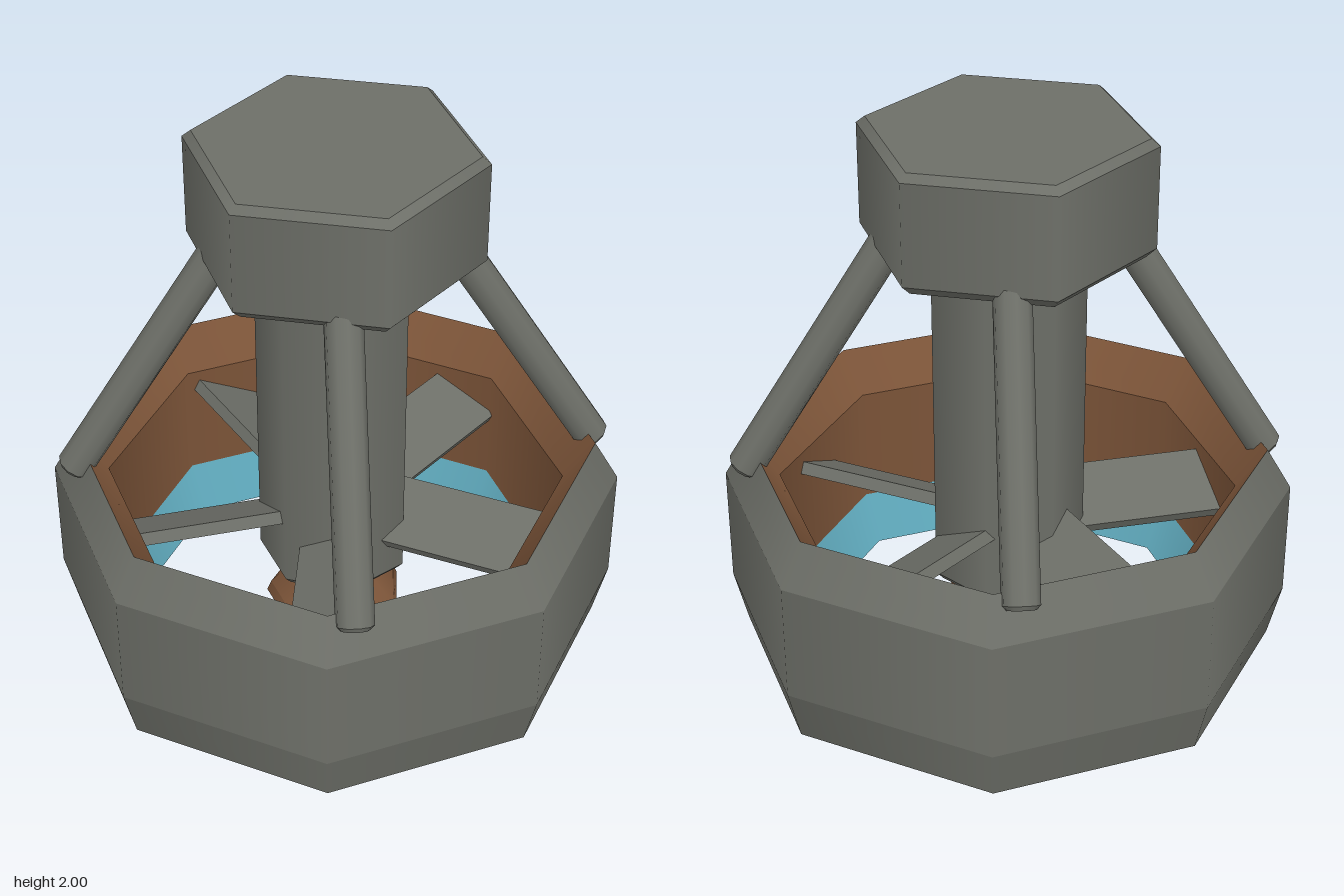
import * as THREE from 'three';
import { mergeGeometries } from 'three/addons/utils/BufferGeometryUtils.js';

const V2 = (p) => new THREE.Vector2(p[0], p[1]);

// Turned solid: smooth around the axis, crisp along the profile
function turned(profile, sides, phi) {
  const bands = [];
  for (let i = 0; i < profile.length - 1; i++) {
    bands.push(new THREE.LatheGeometry([V2(profile[i]), V2(profile[i + 1])], sides, phi));
  }
  return mergeGeometries(bands);
}

export function createModel() {
  const group = new THREE.Group();
  const mat = (name, color) => {
    const m = new THREE.MeshStandardMaterial({ color });
    m.name = name;
    return m;
  };
  const grey = mat('grey metal', 0x6d6f68);
  const brown = mat('brown metal', 0x7d5539);
  const blue = mat('blue glow', 0x60aabd);

  const add = (name, geometry, material, parent = group) => {
    const mesh = new THREE.Mesh(geometry, material);
    mesh.name = name;
    parent.add(mesh);
    return mesh;
  };

  // Eight-sided duct: outer shell, inner wall and lower lip
  const turn = -0.112;
  add('ductShell', turned([[0.82, 0], [0.945, 0.04], [0.992, 0.23], [0.992, 0.66], [0.905, 0.81]], 8, turn), grey);
  add('ductInnerWall', turned([[0.905, 0.81], [0.80, 0.66], [0.80, 0.22]], 8, turn), brown);
  add('ductLip', turned([[0.80, 0.22], [0.73, 0.04], [0.82, 0]], 8, turn), blue);

  // Hexagonal cap
  add('cap', turned([[0, 1.58], [0.465, 1.58], [0.5, 1.615], [0.5, 1.975], [0.47, 2], [0, 2]], 6, Math.PI / 2), grey);

  // Central column and the flared cone below it
  add('column', turned([[0, 0.31], [0.245, 0.31], [0.27, 0.34], [0.27, 1.62], [0, 1.62]], 7, -Math.PI / 2), grey);
  add('cone', turned([[0, 0.1], [0.25, 0.1], [0.235, 0.14], [0.03, 0.4]], 7, -Math.PI / 2), brown);

  // Five pitched fan blades
  for (let i = 0; i < 5; i++) {
    const arm = new THREE.Group();
    arm.name = 'bladeArm';
    arm.rotation.y = -i * Math.PI * 2 / 5;
    arm.position.y = 0.54;
    const blade = add('blade', new THREE.BoxGeometry(0.7, 0.045, 0.255), grey, arm);
    blade.position.set(0.5, 0, -0.015);
    blade.rotation.x = 0.49;
    group.add(arm);
  }

  // Four slanted struts from duct rim to cap
  const up = new THREE.Vector3(0, 1, 0);
  for (const sx of [1, -1]) {
    for (const sz of [1, -1]) {
      const foot = new THREE.Vector3(0.655 * sx, 0.755, 0.635 * sz);
      const head = new THREE.Vector3(0.25 * sx, 1.68, 0.24 * sz);
      const axis = head.clone().sub(foot);
      const len = axis.length();
      const strut = add('strut', turned(
        [[0, 0], [0.05, 0], [0.064, 0.015], [0.064, len], [0, len]], 10, 0), grey);
      strut.position.copy(foot);
      strut.quaternion.setFromUnitVectors(up, axis.normalize());
    }
  }
  return group;
}
